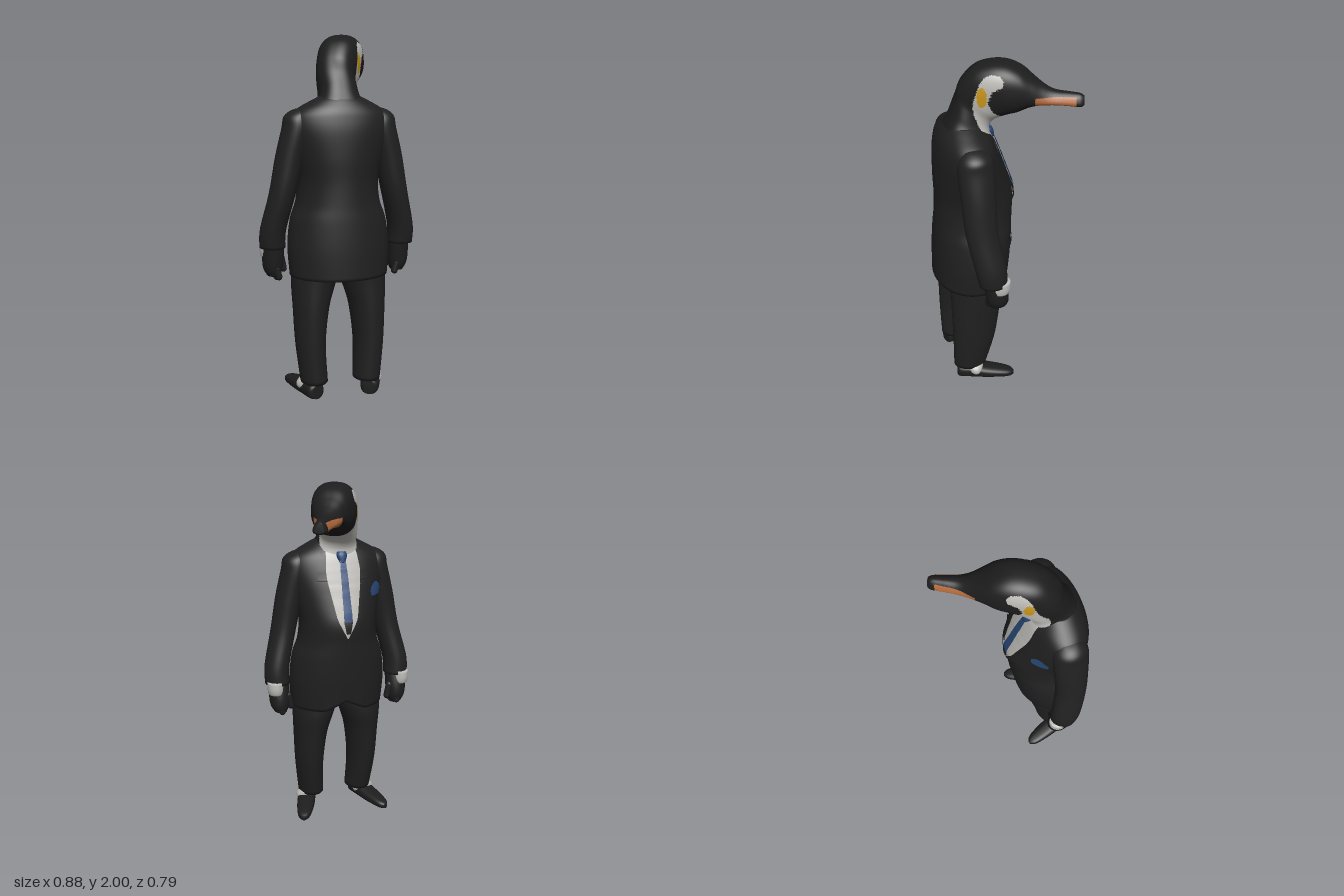
import * as THREE from 'three';

const mat = (name, color, side = THREE.FrontSide) => {
  const m = new THREE.MeshStandardMaterial({ color, side });
  m.name = name;
  return m;
};

// Catmull-Rom interpolation through table rows, t in 0..1
function rowAt(rows, t) {
  const n = rows.length - 1, f = Math.min(t * n, n - 1e-6), i = Math.floor(f), k = f - i;
  const r = (j) => rows[Math.max(0, Math.min(n, j))];
  return rows[0].map((_, c) => {
    const a = r(i - 1)[c], b = r(i)[c], d = r(i + 1)[c], e = r(i + 2)[c];
    const m0 = (d - a) / 2, m1 = (e - b) / 2;
    return (2 * b - 2 * d + m0 + m1) * k ** 3 + (-3 * b + 3 * d - 2 * m0 - m1) * k * k + m0 * k + b;
  });
}

// Grid surface from fn(u, v); a closed one wraps in u and gets end caps
function surface(nu, nv, fn, closed, paint) {
  const pos = [], tris = [], w = closed ? nu : nu + 1;
  for (let j = 0; j <= nv; j++) for (let i = 0; i < w; i++) pos.push(...fn(i / nu, j / nv));
  for (let j = 0; j < nv; j++) for (let i = 0; i < nu; i++) {
    const a = j * w + i, b = j * w + (i + 1) % w;
    tris.push([a, a + w, b], [b, a + w, b + w]);
  }
  if (closed) for (const j of [0, nv]) {
    const c = [0, 0, 0], id = pos.length / 3;
    for (let i = 0; i < w; i++) for (let k = 0; k < 3; k++) c[k] += pos[(j * w + i) * 3 + k] / w;
    pos.push(...c);
    for (let i = 0; i < w; i++) {
      const a = j * w + i, b = j * w + (i + 1) % w;
      tris.push(j ? [id, b, a] : [id, a, b]);
    }
  }
  const g = new THREE.BufferGeometry();
  g.setAttribute('position', new THREE.Float32BufferAttribute(pos, 3));
  if (paint) {
    const sets = [[], [], [], []];
    for (const t of tris) {
      const c = [0, 1, 2].map((k) => t.reduce((s, p) => s + pos[p * 3 + k] / 3, 0));
      sets[paint(c)].push(...t);
    }
    let start = 0;
    sets.forEach((s, i) => { g.addGroup(start, s.length, i); start += s.length; });
    g.setIndex(sets.flat());
  } else g.setIndex(tris.flat());
  g.computeVertexNormals();
  return g;
}

const power = (x, e) => Math.sign(x) * Math.abs(x) ** (2 / e);

// Loft of superellipses; rows are [y, cx, cz, rx, rz] with y rising
function loft(rows, { e = 2, side = 1, nu = 32, nv = 32, tweak } = {}) {
  return surface(nu, nv, (u, v) => {
    const [y, cx, cz, rx, rz] = rowAt(rows, v), a = u * Math.PI * 2;
    const p = [cx * side + rx * power(Math.sin(a), e), y, cz - rz * power(Math.cos(a), e)];
    return tweak ? tweak(p) : p;
  }, true);
}

const E = 2.05;
const TORSO = [
  [0.69, 0, 0.17, 0.275, 0.215], [0.85, 0, 0.16, 0.285, 0.22], [1.0, 0, 0.15, 0.268, 0.22],
  [1.1, 0, 0.143, 0.235, 0.218], [1.22, 0, 0.138, 0.226, 0.217], [1.35, 0, 0.157, 0.25, 0.198],
  [1.48, 0, 0.176, 0.28, 0.172], [1.56, 0, 0.184, 0.275, 0.15], [1.605, 0, 0.187, 0.235, 0.132],
  [1.645, 0, 0.19, 0.165, 0.105], [1.67, 0, 0.19, 0.115, 0.085],
];
const DENSE = Array.from({ length: 201 }, (_, i) => rowAt(TORSO, i / 200));

// Depth of the jacket's chest at (x, y)
function chestZ(x, y) {
  const r = DENSE.find((d) => d[0] >= y) || DENSE[200];
  return r[2] - r[4] * Math.max(0, 1 - Math.abs(x / r[3]) ** E) ** (1 / E);
}

// Thin patch lying on the chest; rows are [y, x0, x1]
function patch(rows, lift, nv = 28) {
  return surface(10, nv, (u, v) => {
    const n = rows.length - 1, f = Math.min(v * n, n - 1e-6), i = Math.floor(f);
    const [y, x0, x1] = rows[i].map((c, k) => c + (rows[i + 1][k] - c) * (f - i));
    const x = x0 + (x1 - x0) * u;
    return [x, y, chestZ(x, y) - lift];
  }, false);
}

const inside = (poly, x, y) => {
  let r = false;
  poly.forEach(([ax, ay], i) => {
    const [bx, by] = poly[(i + 1) % poly.length];
    if (ay > y !== by > y && x < ax + ((y - ay) / (by - ay)) * (bx - ax)) r = !r;
  });
  return r;
};

// Head and neck: rings as [back s, back y, front s, front y, half width], s runs forward
const HEAD = [
  [-0.14, 1.55, 0.1, 1.52, 0.18], [-0.14, 1.63, 0.1, 1.58, 0.145], [-0.105, 1.71, 0.1, 1.635, 0.11],
  [-0.07, 1.8, 0.13, 1.68, 0.107], [-0.035, 1.89, 0.19, 1.715, 0.114], [0.03, 1.965, 0.23, 1.73, 0.12],
  [0.11, 1.997, 0.26, 1.74, 0.12], [0.19, 2.0, 0.28, 1.75, 0.113], [0.26, 1.975, 0.31, 1.765, 0.099],
  [0.32, 1.93, 0.345, 1.778, 0.08], [0.375, 1.89, 0.385, 1.785, 0.061], [0.43, 1.862, 0.435, 1.788, 0.048],
  [0.5, 1.855, 0.5, 1.786, 0.04], [0.555, 1.85, 0.56, 1.782, 0.034], [0.578, 1.838, 0.58, 1.79, 0.022],
];
const EAR_AND_THROAT = [
  [0.075, 1.5], [0.06, 1.6], [0.025, 1.67], [0.02, 1.74], [0.045, 1.8], [0.065, 1.86], [0.08, 1.91],
  [0.105, 1.945], [0.14, 1.962], [0.185, 1.958], [0.205, 1.935], [0.2, 1.905], [0.15, 1.88], [0.125, 1.82],
  [0.15, 1.76], [0.2, 1.715], [0.3, 1.7], [0.3, 1.5],
];
function headGeometry() {
  const paint = ([h, y, z]) => {
    const s = -z;
    if (s > 0.36 && s < 0.565 && y > 1.789 && y < 1.838 && Math.abs(h) > 0.02) return 3;
    if (((s - 0.094) / 0.027) ** 2 + ((y - 1.843) / 0.055) ** 2 < 1) return 2;
    return inside(EAR_AND_THROAT, s, y) ? 1 : 0;
  };
  const g = surface(128, 180, (u, v) => {
    const [bs, by, fs, fy, w] = rowAt(HEAD, v), a = u * Math.PI * 2, c = power(Math.cos(a), 2.5);
    // The bill is narrow along its ridge and broad below
    const egg = 1 + 0.35 * THREE.MathUtils.smoothstep(fs, 0.3, 0.42) * c;
    return [w * egg * power(Math.sin(a), 2.5), (by + fy) / 2 + ((fy - by) / 2) * c,
      -1.04 * ((bs + fs) / 2 + ((fs - bs) / 2) * c)];
  }, true, paint);
  // Turn the head to its side above the neck
  const p = g.attributes.position;
  for (let i = 0; i < p.count; i++) {
    const h = p.getX(i), y = p.getY(i), s = -p.getZ(i);
    const k = THREE.MathUtils.smoothstep(y + s * 0.8, 1.66, 1.86), t = 0.46 * k;
    p.setXYZ(i, -0.02 * k + s * Math.sin(t) + h * Math.cos(t), y, 0.15 - s * Math.cos(t) + h * Math.sin(t));
  }
  g.computeVertexNormals();
  return g;
}

export function createModel() {
  const root = new THREE.Group();
  const D = THREE.DoubleSide;
  const suit = mat('suit charcoal', 0x202020, D), black = mat('feather black', 0x1d1d1d);
  const white = mat('off white', 0xbbbab5, D), yellow = mat('ear yellow', 0xcc981d);
  const orange = mat('bill orange', 0xaf683c), blue = mat('tie blue', 0x284775, D);
  const add = (name, geo, m, parent = root) => {
    const mesh = new THREE.Mesh(geo, m);
    mesh.name = name;
    parent.add(mesh);
    return mesh;
  };

  add('head', headGeometry(), [black, white, yellow, orange]);

  // Jacket with a cutaway front hem
  add('jacket', loft(TORSO, {
    e: E, nu: 72, nv: 60,
    tweak: ([x, y, z]) => {
      const k = z < 0.1 ? Math.max(0, 1 - Math.abs(x) / 0.12) * Math.max(0, 1 - (y - 0.69) / 0.3) : 0;
      return [x, y + 0.06 * k, z];
    },
  }), suit);

  // Shirt, tie, button and pocket square
  const V = [[1.14, 0.002], [1.25, 0.06], [1.4, 0.092], [1.52, 0.102], [1.62, 0.09]];
  add('shirt', patch(V.map(([y, w]) => [y, -w, w]), 0.005), white);
  add('tie', patch([[1.24, -0.025, 0.025], [1.5, -0.02, 0.02], [1.57, -0.016, 0.016]], 0.019), blue);
  add('tieEnd', patch([[1.17, -0.012, 0.012], [1.24, -0.026, 0.026]], 0.016, 6), suit);
  add('tieKnot', loft([[1.555, 0, 0.03, 0.016, 0.018], [1.595, 0, 0.043, 0.031, 0.024], [1.615, 0, 0.05, 0.025, 0.02]], { nu: 16, nv: 8 }), blue);
  add('pocketSquare', patch([[1.36, -0.232, -0.165], [1.39, -0.238, -0.158], [1.415, -0.232, -0.17], [1.435, -0.21, -0.19]], 0.009), blue);
  const button = add('button', new THREE.CylinderGeometry(0.012, 0.012, 0.012, 16), black);
  button.rotation.x = Math.PI / 2;
  button.position.set(0, 1.12, chestZ(0, 1.12) - 0.005);

  for (const side of [1, -1]) {
    const mirror = (rows) => rows.map(([y, a, b]) => (side > 0 ? [y, a, b] : [y, -b, -a]));
    add('lapel', patch(mirror([[1.13, 0, 0.012], [1.25, 0.058, 0.1], [1.45, 0.095, 0.17], [1.465, 0.097, 0.145],
      [1.52, 0.1, 0.15], [1.62, 0.088, 0.115]]), 0.011), suit);
    add('pocketFlap', patch(mirror([[0.93, 0.12, 0.21], [0.98, 0.12, 0.21]]), 0.006, 4), suit);

    // Arm
    const arm = new THREE.Group();
    arm.name = 'arm';
    root.add(arm);
    add('sleeve', loft([[0.845, 0.367, 0.135, 0.071, 0.08], [0.95, 0.364, 0.148, 0.072, 0.086], [1.15, 0.316, 0.18, 0.073, 0.088],
      [1.35, 0.275, 0.185, 0.078, 0.093], [1.5, 0.238, 0.185, 0.079, 0.098], [1.565, 0.228, 0.185, 0.076, 0.085],
      [1.6, 0.2, 0.187, 0.06, 0.055], [1.615, 0.17, 0.187, 0.03, 0.03]], { side }), suit, arm);
    add('cuff', loft([[0.79, 0.384, 0.1, 0.043, 0.05], [0.82, 0.386, 0.098, 0.047, 0.055], [0.865, 0.386, 0.1, 0.046, 0.055]], { side, nv: 6 }), white, arm);
    add('hand', loft([[0.68, 0.358, 0.105, 0.036, 0.05], [0.72, 0.362, 0.108, 0.054, 0.062], [0.78, 0.362, 0.115, 0.06, 0.064],
      [0.86, 0.36, 0.13, 0.058, 0.058]], { side, nv: 12 }), black, arm);
    for (let i = 0; i < 4; i++) {
      const f = add('finger', new THREE.CapsuleGeometry(0.019, 0.05, 4, 10), black, arm);
      f.position.set(side * (0.362 - 0.007 * i), 0.696 + 0.006 * Math.abs(i - 2), 0.068 + 0.028 * i);
      f.rotation.z = -side * 0.25;
    }
    const thumb = add('thumb', new THREE.CapsuleGeometry(0.02, 0.07, 4, 10), black, arm);
    thumb.position.set(side * 0.307, 0.745, 0.09);
    thumb.rotation.z = -side * 0.2;

    // Leg and foot
    add('trouserLeg', loft([[0.085, 0.152, 0.22, 0.077, 0.1], [0.3, 0.167, 0.195, 0.085, 0.128], [0.5, 0.161, 0.18, 0.101, 0.144],
      [0.62, 0.147, 0.168, 0.121, 0.154], [0.69, 0.137, 0.167, 0.132, 0.155], [0.78, 0.135, 0.168, 0.133, 0.155]], { e: 1.9, side }), suit);
    add('sock', loft([[0.035, 0.183, 0.2, 0.054, 0.03], [0.055, 0.184, 0.2, 0.065, 0.046], [0.08, 0.182, 0.2, 0.063, 0.05],
      [0.1, 0.165, 0.2, 0.058, 0.06]], { side, nv: 9 }), white);
    const shoe = loft([[0, 0, 0.04, 0.03, 0.038], [0.02, 0, 0.043, 0.05, 0.043], [0.1, 0, 0.044, 0.054, 0.044],
      [0.18, 0, 0.036, 0.054, 0.036], [0.27, 0, 0.028, 0.045, 0.028], [0.32, 0, 0.022, 0.033, 0.022],
      [0.345, 0, 0.018, 0.012, 0.014]], { e: 2.6 });
    shoe.rotateX(-Math.PI / 2);
    const s = add('shoe', shoe, black);
    s.position.set(side * 0.15, 0, 0.3);
    s.rotation.y = -side * 0.33;
  }
  return root;
}
